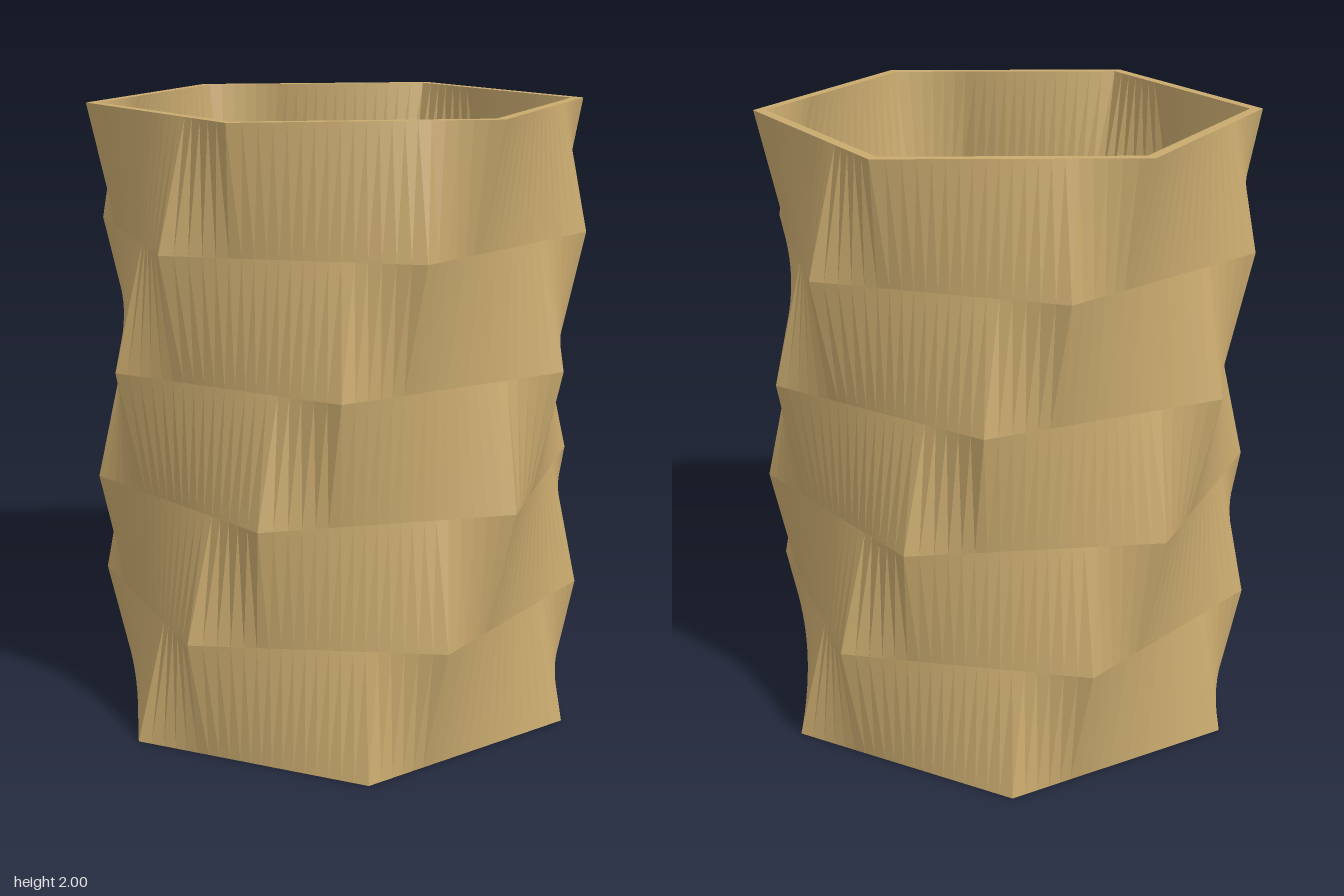
import * as THREE from 'three';

const HEIGHT = 2, LEVELS = 5, TWIST = 18, SEGMENTS = 120;
const OUTER = 0.8, INNER = 0.76, FLOOR = 0.04;

// Distance from the axis to a hexagon turned by `level` twist steps, at an angle in degrees
function hexRadius(corner, angle, level) {
  const local = (((angle + TWIST * level) % 60) + 60) % 60 - 30;
  return corner * Math.cos(Math.PI / 6) / Math.cos(local * Math.PI / 180);
}

// Closed ring of points; heights between two levels blend their hexagons
function ring(corner, y) {
  const level = y / HEIGHT * LEVELS;
  const low = Math.min(Math.floor(level + 1e-6), LEVELS - 1);
  const points = [];
  for (let i = 0; i < SEGMENTS; i++) {
    const angle = i * 360 / SEGMENTS;
    const r = THREE.MathUtils.lerp(
      hexRadius(corner, angle, low), hexRadius(corner, angle, low + 1), level - low);
    const a = angle * Math.PI / 180;
    points.push([r * Math.cos(a), y, r * Math.sin(a)]);
  }
  return points;
}

// Faceted skin through successive rings; a ring of corner 0 is a centre point
function skin(name, rings, material) {
  const positions = [];
  const isPoint = (r) => Math.hypot(r[0][0], r[0][2]) < 1e-6;
  for (let k = 0; k < rings.length - 1; k++) {
    const a = rings[k], b = rings[k + 1];
    for (let i = 0; i < SEGMENTS; i++) {
      const j = (i + 1) % SEGMENTS;
      if (!isPoint(a)) positions.push(...a[j], ...a[i], ...b[i]);
      if (!isPoint(b)) positions.push(...a[j], ...b[i], ...b[j]);
    }
  }
  const geometry = new THREE.BufferGeometry();
  geometry.setAttribute('position', new THREE.Float32BufferAttribute(positions, 3));
  geometry.computeVertexNormals();
  const mesh = new THREE.Mesh(geometry, material);
  mesh.name = name;
  return mesh;
}

export function createModel() {
  const group = new THREE.Group();
  group.name = 'twistedHexagonalVase';
  const clay = new THREE.MeshStandardMaterial({ color: 0xc8a96e });
  clay.name = 'sandyClay';

  const heights = Array.from({ length: LEVELS + 1 }, (_, k) => k * HEIGHT / LEVELS);
  const outer = heights.map((y) => ring(OUTER, y));
  // Inner rings run from the rim down to the floor
  const inner = [FLOOR, ...heights.slice(1)].reverse().map((y) => ring(INNER, y));

  group.add(
    skin('base', [ring(0, 0), outer[0]], clay),
    skin('outerWall', outer, clay),
    skin('rim', [outer[LEVELS], inner[0]], clay),
    skin('innerWall', inner, clay),
    skin('floor', [inner[LEVELS], ring(0, FLOOR)], clay),
  );
  return group;
}
